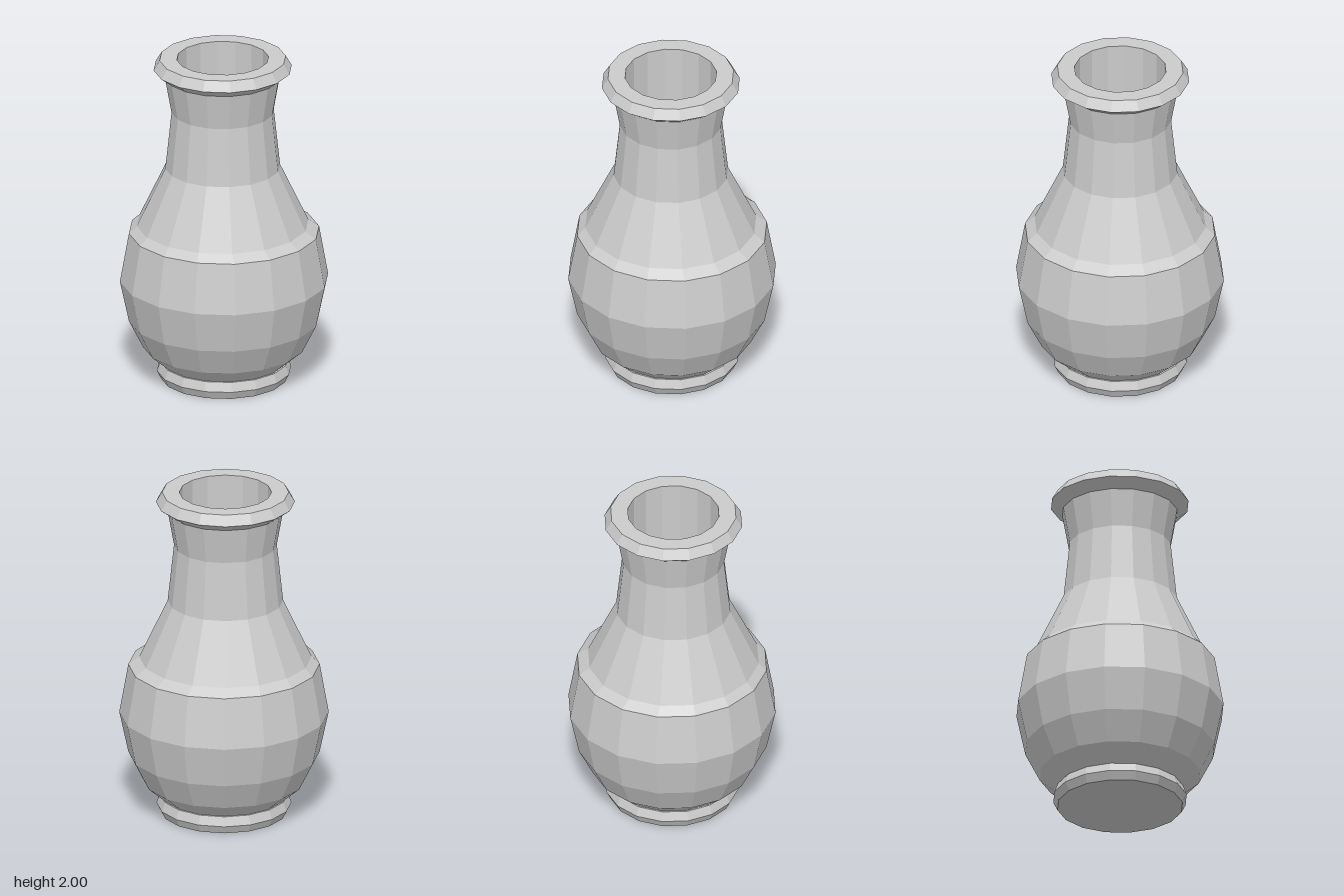
import * as THREE from 'three';

const SIDES = 16;
const LEAN = -0.009; // the neck sits slightly off the body's axis

export function createModel() {
  const vase = new THREE.Group();
  vase.name = 'vase';
  const material = new THREE.MeshStandardMaterial({ color: 0xcccccc, flatShading: true });

  // Turns a [radius, height] profile; everything above the shoulder leans
  function turn(name, profile) {
    const points = profile.map(([r, y]) => new THREE.Vector2(r, y));
    const geometry = new THREE.LatheGeometry(points, SIDES);
    const pos = geometry.attributes.position;
    for (let i = 0; i < pos.count; i++) {
      if (pos.getY(i) > 0.95) pos.setX(i, pos.getX(i) + LEAN);
    }
    geometry.computeVertexNormals();
    const mesh = new THREE.Mesh(geometry, material);
    mesh.name = name;
    vase.add(mesh);
  }

  // Closed base with a bevelled ring
  turn('foot', [[0, 0], [0.37, 0], [0.395, 0.05], [0.375, 0.105], [0.365, 0.105]]);

  // Round belly up to the shoulder step
  turn('belly', [[0.365, 0.105], [0.475, 0.2], [0.56, 0.37], [0.613, 0.62], [0.56, 0.92], [0.505, 0.965]]);

  // Tapering shoulder and waisted neck
  turn('neck', [[0.505, 0.965], [0.338, 1.32], [0.301, 1.67], [0.34, 1.89]]);

  // Flared lip with a flat top
  turn('rim', [[0.34, 1.89], [0.407, 1.94], [0.371, 2], [0.27, 2]]);

  // Inside wall and floor
  turn('interior', [[0.27, 2], [0.27, 0.97], [0.27, 0.12], [0, 0.12]]);

  return vase;
}
